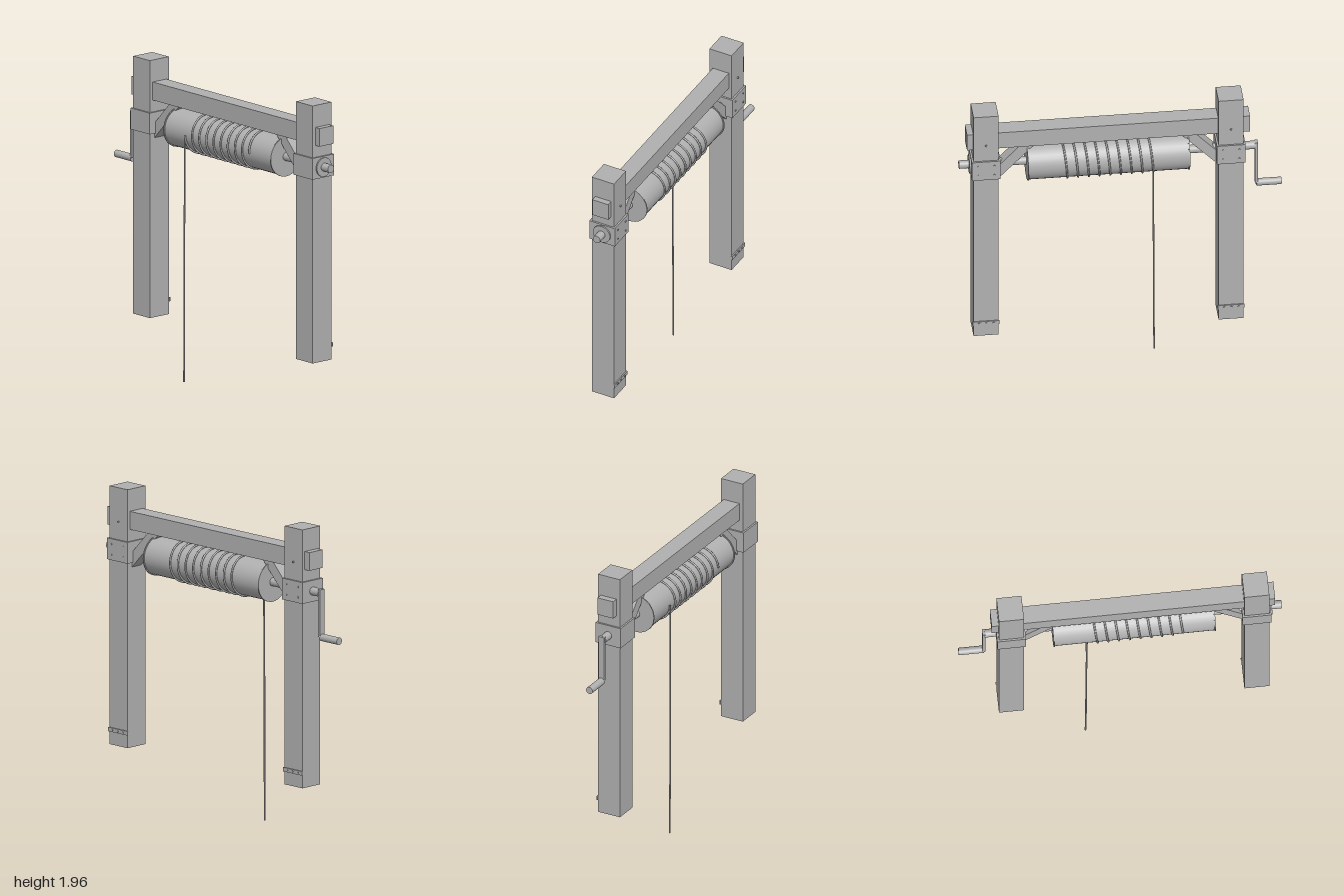
import * as THREE from 'three';

export function createModel() {
  const group = new THREE.Group();
  const grey = new THREE.MeshStandardMaterial({ color: 0xb0b0b0 });
  grey.name = 'grey';
  const AXLE_Y = 1.563, DRUM_X = 0.08;

  function add(name, geometry, x = 0, y = 0, z = 0, parent = group) {
    const mesh = new THREE.Mesh(geometry, grey);
    mesh.name = name;
    mesh.position.set(x, y, z);
    parent.add(mesh);
    return mesh;
  }
  const box = (name, w, h, d, x, y, z, parent) =>
    add(name, new THREE.BoxGeometry(w, h, d), x, y, z, parent);
  // Cylinder lying along x, from x0 to x1
  const rod = (name, r, x0, x1, y, z = 0, parent = group) =>
    add(name, new THREE.CylinderGeometry(r, r, x1 - x0, 32).rotateZ(Math.PI / 2), (x0 + x1) / 2, y, z, parent);
  // Small bolt head on the back, facing -z
  const bolt = (x, y, z, parent) =>
    add('bolt', new THREE.CylinderGeometry(0.006, 0.006, 0.012, 10).rotateX(Math.PI / 2), x, y, z, parent);

  // Crossbeam running through both posts
  box('crossbeam', 1.755, 0.115, 0.112, 0.078, 1.763, -0.002);

  // Posts with bearing collars, foot straps and diagonal braces
  for (const side of [-1, 1]) {
    const frame = new THREE.Group();
    frame.name = side < 0 ? 'rightFrame' : 'leftFrame';
    frame.position.x = DRUM_X + side * 0.7595;
    group.add(frame);

    box('post', 0.155, 1.635, 0.155, 0, 1.1425, 0, frame);
    box('bearingCollar', 0.178, 0.135, 0.178, 0, 1.563, 0, frame);
    bolt(0, 1.745, -0.08, frame);
    for (const bx of [-0.05, 0.05]) {
      for (const by of [1.53, 1.597]) bolt(bx, by, -0.087, frame);
    }
    box('footStrap', 0.166, 0.026, 0.008, 0, 0.42, -0.081, frame);
    for (const bx of [-0.045, 0, 0.045]) bolt(bx, 0.42, -0.084, frame);

    // Brace outline, from the post's inner face up to the beam
    const s = -side;
    const outline = new THREE.Shape([
      [0.075, 1.462], [0.308, 1.706], [0.218, 1.706], [0.075, 1.555],
    ].map(([x, y]) => new THREE.Vector2(s * x, y)));
    add('brace', new THREE.ExtrudeGeometry(outline, { depth: 0.08, bevelEnabled: false }), 0, 0, -0.04, frame);
  }

  // Axle with retaining ring at the free end
  rod('axle', 0.026, -0.84, 1.0, AXLE_Y);
  rod('axleRing', 0.06, 0.92, 0.938, AXLE_Y);

  // Winding drum with thin end rims
  rod('drum', 0.12, DRUM_X - 0.5, DRUM_X + 0.5, AXLE_Y);
  rod('drumRim', 0.126, DRUM_X - 0.502, DRUM_X - 0.494, AXLE_Y);
  rod('drumRim', 0.126, DRUM_X + 0.494, DRUM_X + 0.502, AXLE_Y);

  // Crank arm and handle
  box('crankArm', 0.018, 0.3, 0.04, -0.844, 1.437, 0);
  rod('crankHandle', 0.023, -1.0, -0.845, 1.283);

  // Rope wound nine turns around the drum
  const coil = [];
  const TURNS = 9, STEPS = 24;
  for (let i = 0; i <= TURNS * STEPS; i++) {
    const a = (i / STEPS) * Math.PI * 2;
    coil.push(new THREE.Vector3(
      -0.221 + 0.0666 * (i / STEPS),
      AXLE_Y - 0.125 * Math.sin(a),
      0.125 * Math.cos(a)));
  }
  add('ropeCoil', new THREE.TubeGeometry(new THREE.CatmullRomCurve3(coil), 400, 0.006, 8));

  // Free end of the rope hanging to the ground
  const hanging = new THREE.CatmullRomCurve3([
    [-0.221, 1.566, 0.125], [-0.22, 1.3, 0.127], [-0.223, 0.8, 0.128],
    [-0.224, 0.3, 0.127], [-0.227, 0, 0.127],
  ].map((p) => new THREE.Vector3(...p)));
  add('hangingRope', new THREE.TubeGeometry(hanging, 24, 0.005, 8));

  return group;
}
